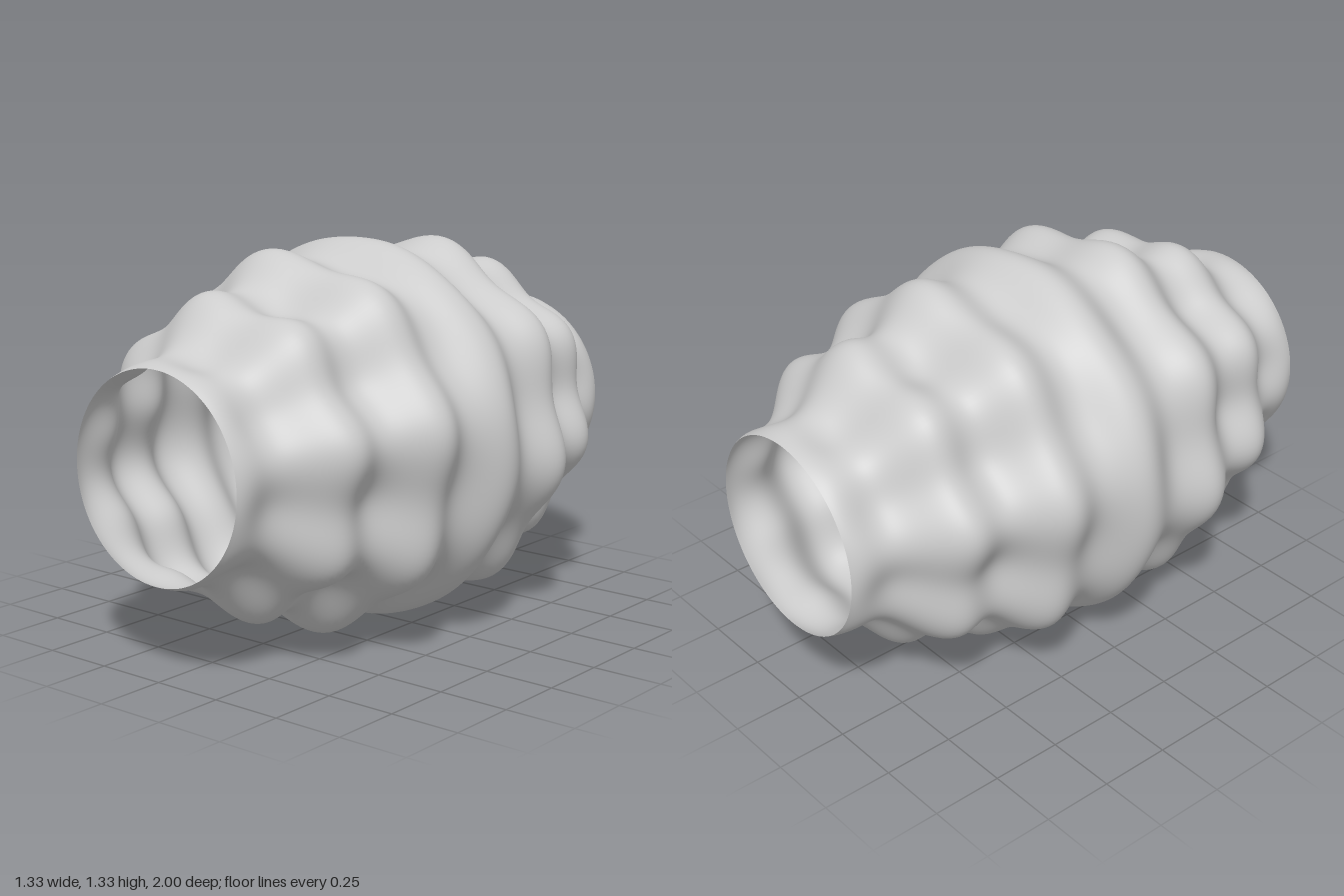
import * as THREE from 'three';

const AROUND = 160, ALONG = 160, LOBES = 8, RINGS = 6;

// Radius of the barrel at an angle around, and a place along, its axis
function radiusAt(angle, z) {
  const mid = Math.sin(Math.PI * z) ** 2;
  const barrel = 0.32 + 0.317 * Math.cos(Math.PI * z / 2) + 0.003 * mid;
  const rings = (0.03 + 0.007 * mid) * Math.cos(RINGS * Math.PI * z);
  const lobes = 0.03 * Math.sin(LOBES * angle) * Math.sin(Math.PI * z);
  return barrel + rings + lobes;
}

// Open tube skinned over closed cross-sections, without a seam
function rippledTube() {
  const positions = [], index = [];
  for (let j = 0; j <= ALONG; j++) {
    const z = -1 + 2 * j / ALONG;
    for (let i = 0; i < AROUND; i++) {
      const a = 2 * Math.PI * i / AROUND;
      const r = radiusAt(a, z);
      positions.push(r * Math.cos(a), r * Math.sin(a), z);
    }
  }
  for (let j = 0; j < ALONG; j++) {
    for (let i = 0; i < AROUND; i++) {
      const next = (i + 1) % AROUND;
      const a = j * AROUND + i, b = j * AROUND + next;
      const c = a + AROUND, d = b + AROUND;
      index.push(a, b, d, a, d, c);
    }
  }
  const geometry = new THREE.BufferGeometry();
  geometry.setAttribute('position', new THREE.Float32BufferAttribute(positions, 3));
  geometry.setIndex(index);
  geometry.computeVertexNormals();
  return geometry;
}

export function createModel() {
  const group = new THREE.Group();
  group.name = 'rippledVessel';
  const material = new THREE.MeshStandardMaterial({ color: 0xcccccc, side: THREE.DoubleSide });

  // Thin shell lying along z, open at both ends
  const shell = new THREE.Mesh(rippledTube(), material);
  shell.name = 'rippledShell';
  shell.position.y = radiusAt(0, 0);
  group.add(shell);
  return group;
}
